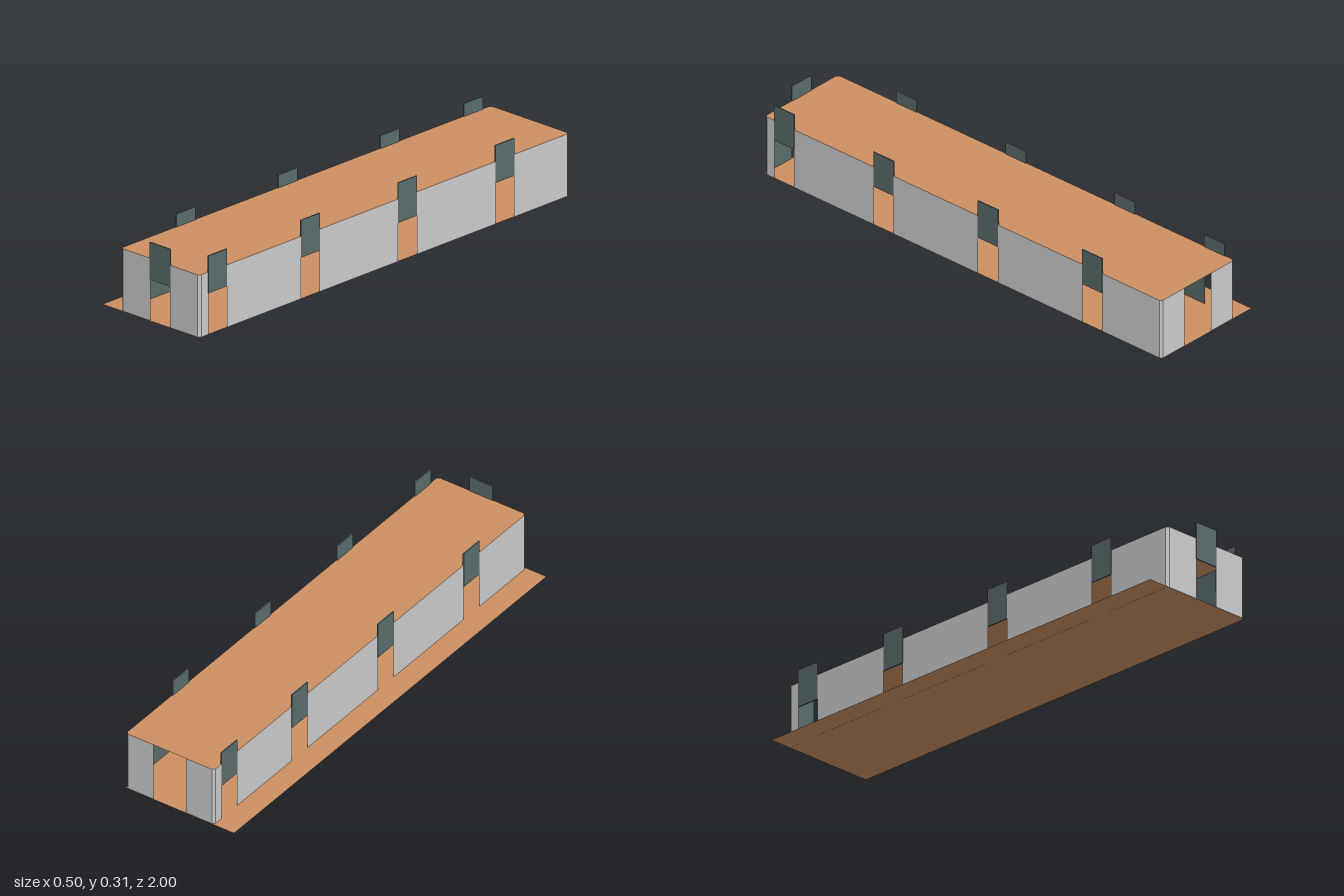
import * as THREE from 'three';

const LEFT = 0.247, RIGHT = -0.157, END = 0.998, CUT = 0.01, H = 0.25;

export function createModel() {
  const model = new THREE.Group();
  model.name = 'longHall';

  const grey = new THREE.MeshStandardMaterial({ color: 0xcccccc });
  const lining = new THREE.MeshStandardMaterial({ color: 0x596b6b, side: THREE.BackSide });
  const slate = new THREE.MeshStandardMaterial({ color: 0x596b6b });
  const clay = new THREE.MeshStandardMaterial({ color: 0xcd8f62, side: THREE.DoubleSide });

  function add(name, geometry, material) {
    const mesh = new THREE.Mesh(geometry, material);
    mesh.name = name;
    model.add(mesh);
    return mesh;
  }

  // Thin upright wall from a to b ([x, z]), grey outside and slate inside;
  // running a to b, the outside lies on the right-hand side
  function wall(name, a, b) {
    const dx = b[0] - a[0], dz = b[1] - a[1];
    const geometry = new THREE.PlaneGeometry(Math.hypot(dx, dz), H);
    geometry.rotateY(Math.atan2(-dz, dx));
    geometry.translate((a[0] + b[0]) / 2, H / 2, (a[1] + b[1]) / 2);
    add(name, geometry, grey);
    add(name + 'Lining', geometry, lining);
  }

  // Floor, wider than the hall on one side
  const floor = add('floor', new THREE.PlaneGeometry(0.497, 2).rotateX(-Math.PI / 2), clay);
  floor.position.set(-0.0015, 0.0005, 0);

  // Footprint with cut corners, counter-clockwise as seen from above
  const corners = [
    [RIGHT + CUT, END], [LEFT - CUT, END], [LEFT, END - CUT], [LEFT, -END + CUT],
    [LEFT - CUT, -END], [RIGHT + CUT, -END], [RIGHT, -END + CUT], [RIGHT, END - CUT],
  ];
  const outline = new THREE.Shape(corners.map(([x, z]) => new THREE.Vector2(x, -z)));
  const roof = add('roof', new THREE.ShapeGeometry(outline).rotateX(-Math.PI / 2), clay);
  roof.position.y = H;

  // Cut corner strips
  for (const i of [1, 3, 5, 7]) wall('cornerStrip', corners[i], corners[(i + 1) % 8]);

  // Front and back walls, each with one opening
  wall('frontWall', corners[0], [-0.005, END]);
  wall('frontWall', [0.097, END], corners[1]);
  wall('backWall', corners[4], [0.12, -END]);
  wall('backWall', [-0.028, -END], corners[5]);

  // Panel over the front opening
  const front = add('frontPanel', new THREE.BoxGeometry(0.106, 0.15, 0.005), slate);
  front.position.set(0.046, 0.24, END - 0.0005);

  // Long walls with four doorways each, a hanging panel over every doorway
  const sides = [
    { name: 'left', x: LEFT, dir: -1, doors: [[0.9, 0.165], [0.4, 0.165], [-0.125, 0.155], [-0.65, 0.165]], top: 0.315 },
    { name: 'right', x: RIGHT, dir: 1, doors: [[-0.9, 0.15], [-0.45, 0.15], [0.1, 0.15], [0.65, 0.15]], top: 0.302 },
  ];
  for (const { name, x, dir, doors, top } of sides) {
    let start = -dir * (END - CUT);
    for (const [z, bottom] of doors) {
      wall(name + 'Wall', [x, start], [x, z - dir * 0.05]);
      start = z + dir * 0.05;
      const panel = add(name + 'Panel', new THREE.BoxGeometry(0.005, top - bottom, 0.102), slate);
      panel.position.set(x + dir * 0.0015, (top + bottom) / 2, z);
    }
    wall(name + 'Wall', [x, start], [x, dir * (END - CUT)]);
  }
  return model;
}
